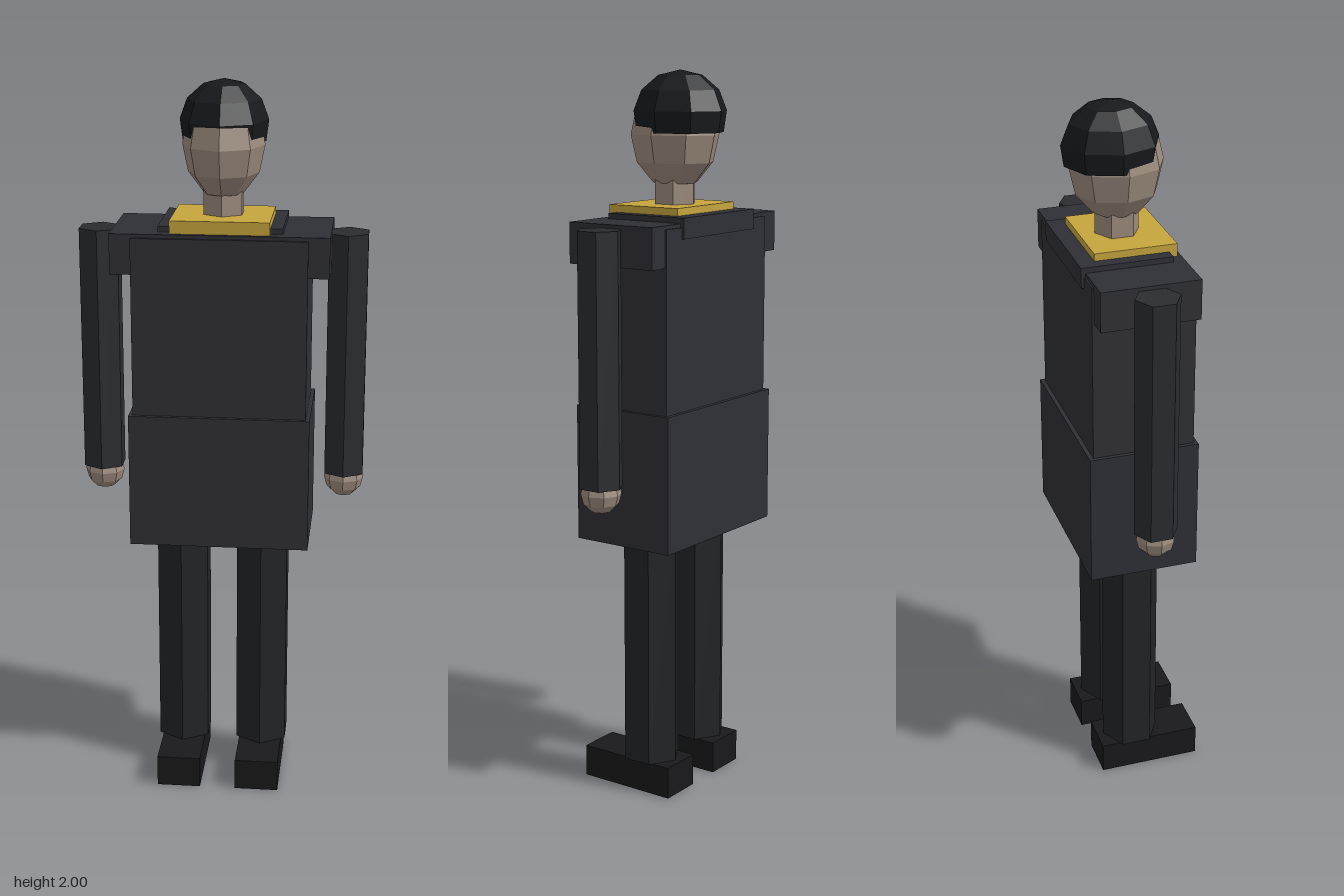
import * as THREE from 'three';

const material = (color, side = THREE.FrontSide) =>
  new THREE.MeshStandardMaterial({ color, flatShading: true, side });

export function createModel() {
  const model = new THREE.Group();
  model.name = 'figure';

  const coat = material(0x2f3036);
  const sleeve = material(0x2a2c30);
  const trouser = material(0x232426);
  const leather = material(0x19191b);
  const skin = material(0x9c8b7d);
  const gold = material(0xc6a53e);
  const hairMat = material(0x17191c, THREE.DoubleSide);
  const zMid = -0.02; // depth of the body axis

  function add(name, geometry, mat, x, y, z) {
    const mesh = new THREE.Mesh(geometry, mat);
    mesh.name = name;
    mesh.position.set(x, y, z);
    model.add(mesh);
    return mesh;
  }

  // box given by full width, y range and z range, centred on x
  function box(name, mat, w, y0, y1, z0, z1, x = 0) {
    return add(name, new THREE.BoxGeometry(w, y1 - y0, z1 - z0), mat,
      x, (y0 + y1) / 2, (z0 + z1) / 2);
  }

  // upright six-sided post
  function post(name, mat, r, y0, y1, x = 0) {
    return add(name, new THREE.CylinderGeometry(r, r, y1 - y0, 6), mat,
      x, (y0 + y1) / 2, zMid);
  }

  // coat
  box('coatSkirt', coat, 0.494, 0.735, 1.11, -0.172, 0.131);
  box('torso', coat, 0.472, 1.11, 1.6, -0.16, 0.12);
  box('shoulders', coat, 0.586, 1.5, 1.61, -0.155, 0.113);
  box('backCollar', coat, 0.334, 1.57, 1.625, -0.167, 0.08);
  box('goldCollar', gold, 0.267, 1.6, 1.645, -0.122, 0.102);

  // limbs, mirrored
  for (const [side, s] of [['left', 1], ['right', -1]]) {
    post(side + 'Leg', trouser, 0.082, 0.09, 0.74, s * 0.113);
    box(side + 'Shoe', leather, 0.123, 0, 0.09, -0.12, 0.17, s * 0.112);
    post(side + 'Arm', sleeve, 0.061, 0.92, 1.6, s * 0.338);
    add(side + 'Hand', new THREE.SphereGeometry(0.055, 8, 6), skin, s * 0.338, 0.903, zMid);
  }

  // head and neck
  post('neck', skin, 0.06, 1.6, 1.73);
  add('head', new THREE.SphereGeometry(1, 8, 6), skin, 0, 1.83, zMid)
    .scale.set(0.111, 0.148, 0.128);

  // hair cap, set slightly back so the face shows below its front edge
  add('hair', new THREE.SphereGeometry(1, 8, 4, 0, Math.PI * 2, 0, Math.PI * 0.62),
    hairMat, 0, 1.88, -0.037).scale.set(0.12, 0.12, 0.133);

  return model;
}
